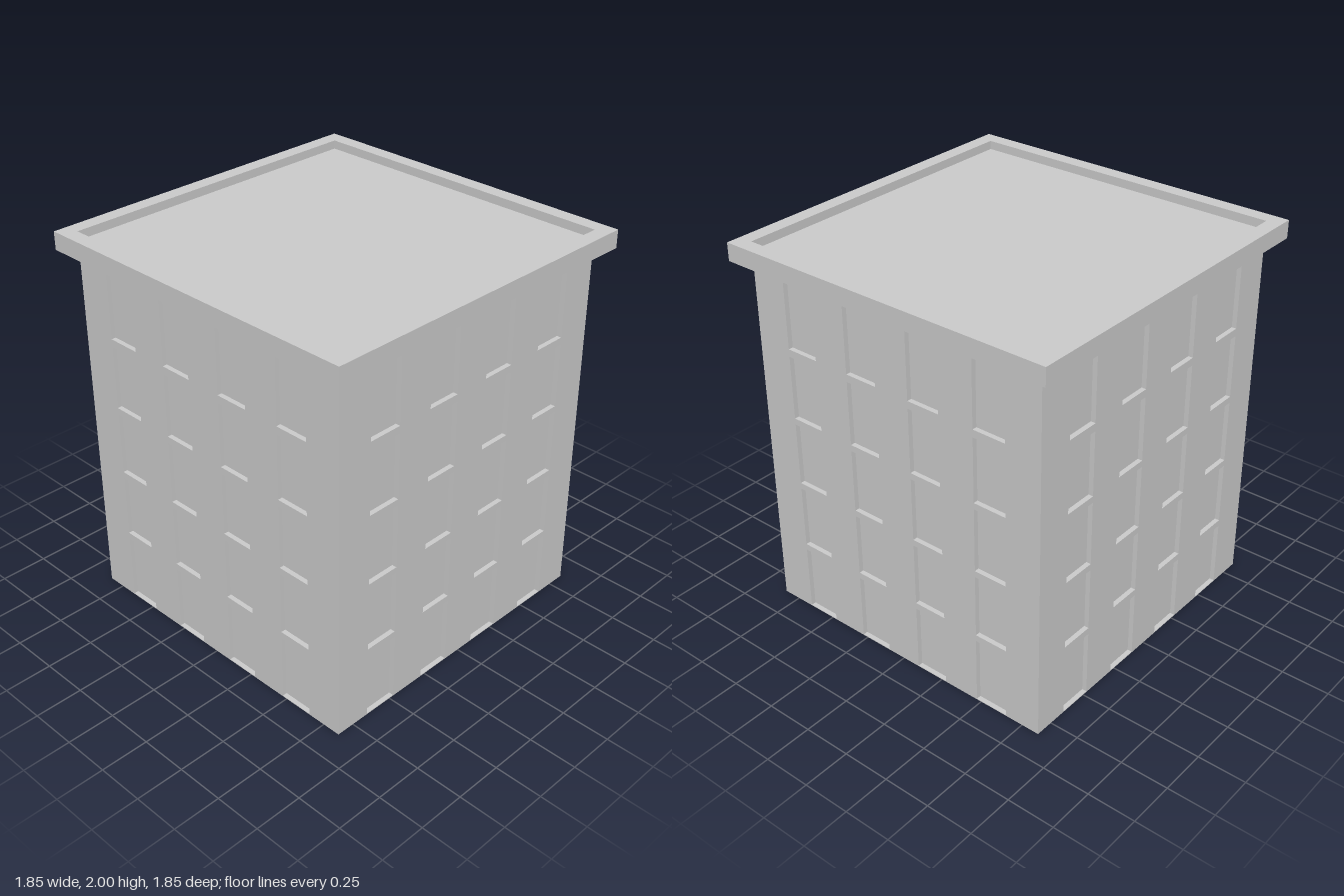
import * as THREE from 'three';

const HALF = 0.846;      // half width of the body
const DEPTH = 0.025;     // window recess
const EAVE = 1.907;      // underside of the cornice
const TOP = 2;
const ROOF = 1.955;      // sunken roof surface
const CORNICE = 0.923;   // half width of the cornice

const WINDOW_X = [-0.564, -0.188, 0.188, 0.564];
const WINDOW_HALF = 0.09;
// sill and head height of each storey
const STOREYS = [[0.004, 0.357], [0.392, 0.728], [0.762, 1.098], [1.132, 1.468], [1.508, 1.857]];

function rectangle(x0, y0, x1, y1, Type = THREE.Shape) {
  const path = new Type();
  path.moveTo(x0, y0);
  path.lineTo(x1, y0);
  path.lineTo(x1, y1);
  path.lineTo(x0, y1);
  path.closePath();
  return path;
}

export function createModel() {
  const model = new THREE.Group();
  const material = new THREE.MeshStandardMaterial({ color: 0xcccccc });

  function add(name, geometry) {
    const mesh = new THREE.Mesh(geometry, material);
    mesh.name = name;
    model.add(mesh);
    return mesh;
  }

  // Inner core: its sides are the window panes
  const inner = 2 * (HALF - DEPTH);
  add('windowPanes', new THREE.BoxGeometry(inner, EAVE, inner).translate(0, EAVE / 2, 0));

  // Outer walls pierced by windows, butted around the corners
  const wall = rectangle(-HALF, 0, HALF - DEPTH, EAVE);
  for (const x of WINDOW_X) {
    for (const [sill, head] of STOREYS) {
      wall.holes.push(rectangle(x - WINDOW_HALF, sill, x + WINDOW_HALF, head, THREE.Path));
    }
  }
  const wallGeometry = new THREE.ExtrudeGeometry(wall, { depth: DEPTH, bevelEnabled: false });
  wallGeometry.translate(0, 0, HALF - DEPTH);
  ['frontWall', 'leftWall', 'backWall', 'rightWall'].forEach((name, i) => {
    add(name, wallGeometry).rotation.y = i * Math.PI / 2;
  });

  // Sunken flat roof
  const roofHeight = ROOF - EAVE;
  add('roof', new THREE.BoxGeometry(2 * HALF, roofHeight, 2 * HALF).translate(0, EAVE + roofHeight / 2, 0));

  // Overhanging cornice with a raised rim
  const ring = rectangle(-CORNICE, -CORNICE, CORNICE, CORNICE);
  ring.holes.push(rectangle(-HALF, -HALF, HALF, HALF, THREE.Path));
  const cornice = new THREE.ExtrudeGeometry(ring, { depth: TOP - EAVE, bevelEnabled: false });
  add('cornice', cornice.rotateX(-Math.PI / 2).translate(0, EAVE, 0));

  return model;
}
